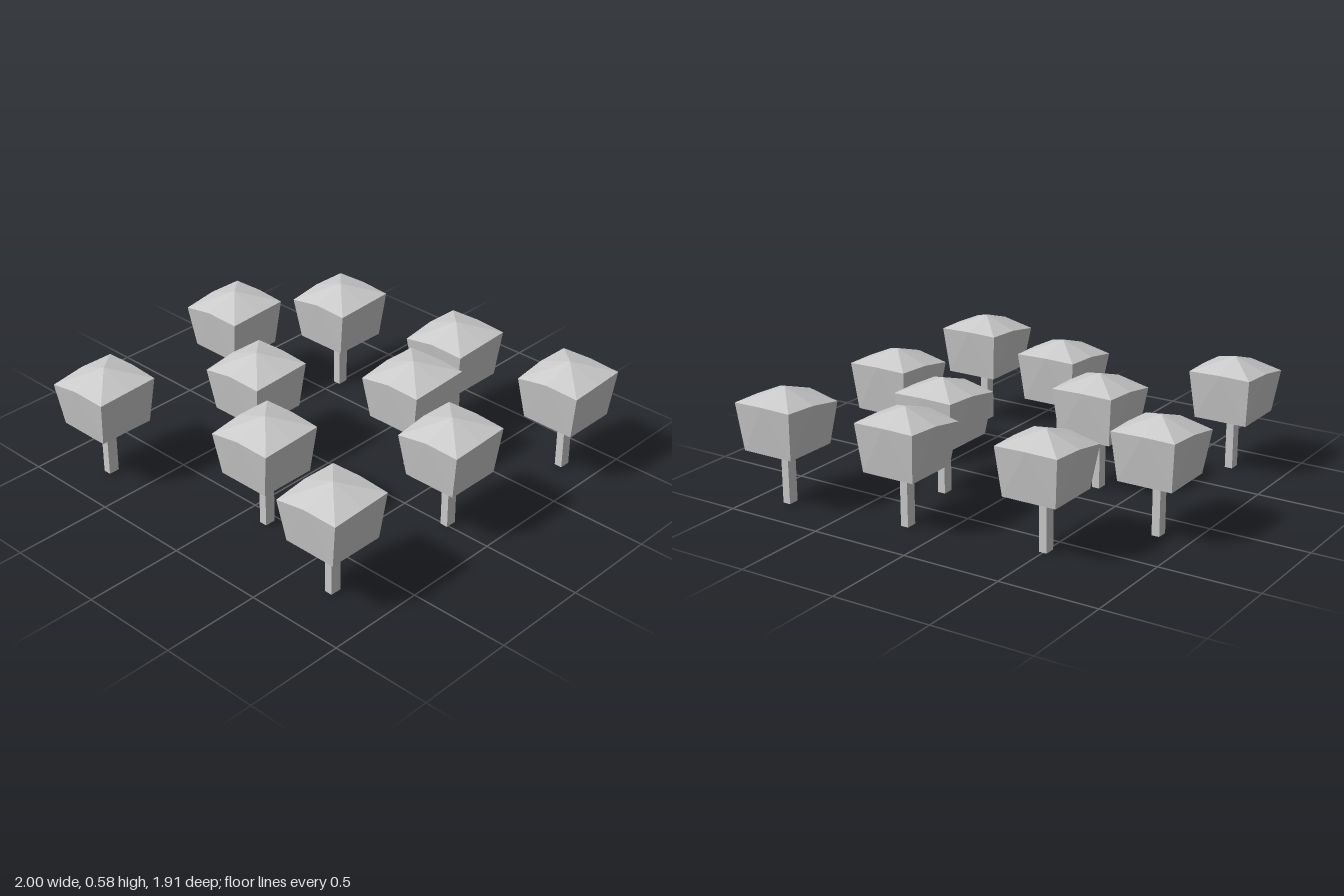
import * as THREE from 'three';
import { ConvexGeometry } from 'three/addons/geometries/ConvexGeometry.js';

// Ground position [x, z] of every tree
const SPOTS = [
  [-0.5, -0.615], [0.19, -0.71], [0.828, -0.785], [0.29, -0.277], [-0.83, -0.182],
  [0.75, -0.018], [-0.3, 0.18], [0.135, 0.552], [-0.72, 0.772], [0.716, 0.722],
];

const TRUNK = { width: 0.04, height: 0.278, depth: 0.056 };

// Faceted crown: square base flaring up to an uneven rim, with a low peak
function crownGeometry() {
  const points = [
    [0, 0.577, 0], // peak
    [-0.17, 0.487, 0.171], [0, 0.52, 0.179], [0.17, 0.505, 0.166], // front rim
    [-0.168, 0.513, 0], [0.171, 0.513, 0], // side rims
    [-0.159, 0.517, -0.169], [0, 0.521, -0.172], [0.165, 0.515, -0.166], // back rim
  ];
  for (const sx of [-1, 1]) {
    for (const sz of [-1, 1]) points.push([sx * 0.138, TRUNK.height, sz * 0.145]); // base
  }
  return new ConvexGeometry(points.map((p) => new THREE.Vector3(...p)));
}

export function createModel() {
  const model = new THREE.Group();
  model.name = 'grove';

  const material = new THREE.MeshStandardMaterial({ color: 0xcccccc, flatShading: true });
  const crownGeo = crownGeometry();
  const trunkGeo = new THREE.BoxGeometry(TRUNK.width, TRUNK.height, TRUNK.depth);
  trunkGeo.translate(0, TRUNK.height / 2, 0);

  // Identical trees, scattered over the ground
  for (const [x, z] of SPOTS) {
    const tree = new THREE.Group();
    tree.name = 'tree';
    const trunk = new THREE.Mesh(trunkGeo, material);
    trunk.name = 'trunk';
    const crown = new THREE.Mesh(crownGeo, material);
    crown.name = 'crown';
    tree.add(trunk, crown);
    tree.position.set(x, 0, z);
    model.add(tree);
  }
  return model;
}
